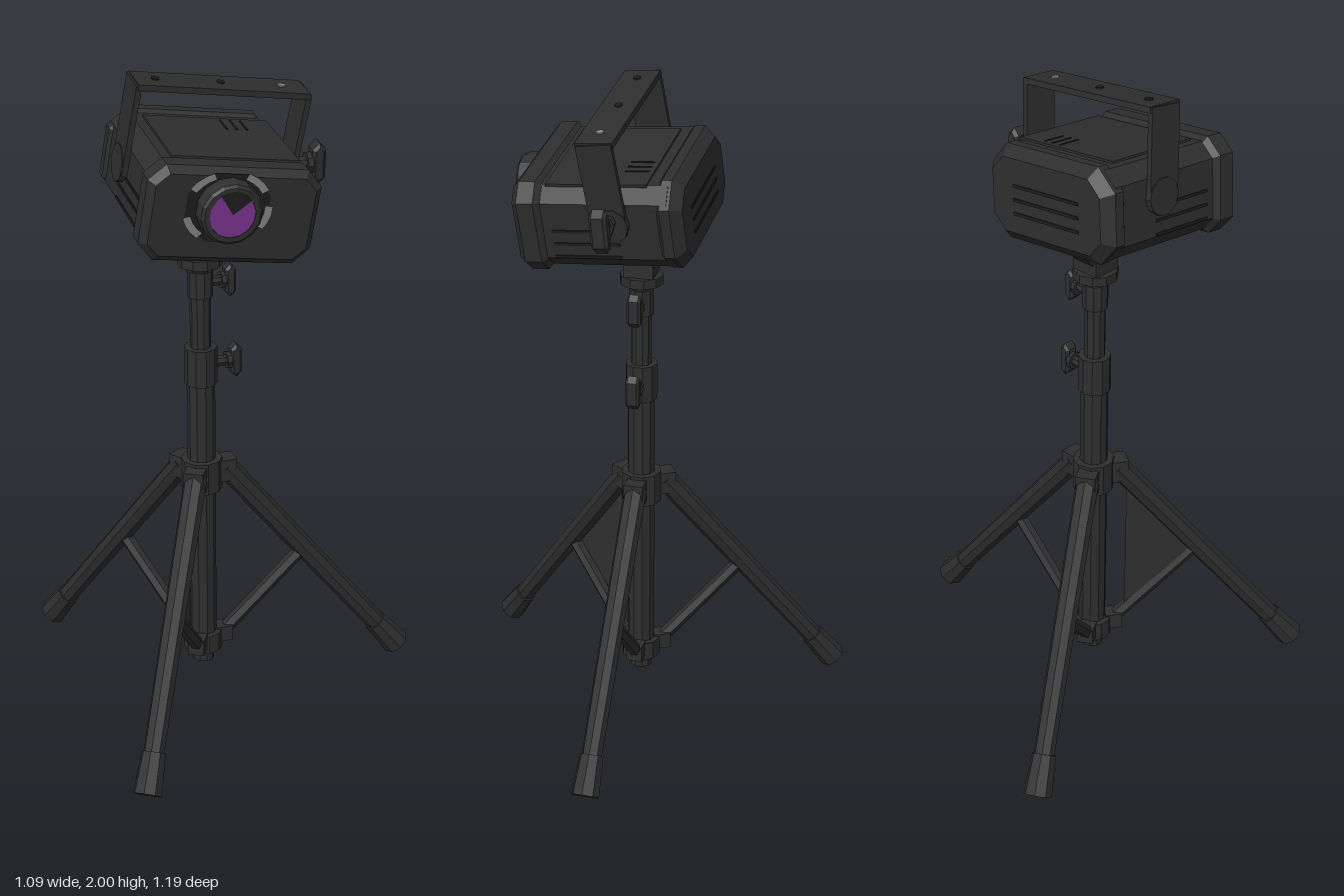
import * as THREE from 'three';

const mat = (name, color, side = THREE.FrontSide) => {
  const m = new THREE.MeshStandardMaterial({ color, flatShading: true, side });
  m.name = name;
  return m;
};

export function createModel() {
  const dark = mat('charcoal plastic', 0x2e2e2e);
  const black = mat('black recess', 0x1d1d1d);
  const grey = mat('light grey trim', 0x858585);
  const purple = mat('purple glass', 0x7d3590);
  const sheet = mat('charcoal sheet', 0x303030, THREE.DoubleSide);

  const add = (parent, name, geo, material, x = 0, y = 0, z = 0) => {
    const m = new THREE.Mesh(geo, material);
    m.name = name;
    m.position.set(x, y, z);
    parent.add(m);
    return m;
  };
  const group = (parent, name, x = 0, y = 0, z = 0) => {
    const g = new THREE.Group();
    g.name = name;
    g.position.set(x, y, z);
    parent.add(g);
    return g;
  };
  // Cylinder between two points
  const rod = (parent, name, a, b, ra, rb = ra, sides = 8, material = dark) => {
    const d = b.clone().sub(a);
    const m = add(parent, name, new THREE.CylinderGeometry(rb, ra, d.length(), sides), material);
    m.position.copy(a).add(b).multiplyScalar(0.5);
    m.quaternion.setFromUnitVectors(new THREE.Vector3(0, 1, 0), d.normalize());
    return m;
  };
  const V = (x, y, z = 0) => new THREE.Vector3(x, y, z);
  // Box with cut corners on every edge
  const chamferBox = (w, h, d, c, e) => {
    const x = w / 2 - e, y = h / 2 - e;
    const s = new THREE.Shape([[-x + c, -y], [x - c, -y], [x, -y + c], [x, y - c], [x - c, y],
      [-x + c, y], [-x, y - c], [-x, -y + c]].map(p => new THREE.Vector2(...p)));
    const g = new THREE.ExtrudeGeometry(s, { depth: d - 2 * e, bevelEnabled: true, bevelSize: e, bevelThickness: e, bevelSegments: 1 });
    return g.translate(0, 0, -d / 2 + e);
  };
  // Clamp knob pointing along +x: stem, flange and a two-winged grip
  const knob = (parent, name, x, y, z, s = 1) => {
    const g = group(parent, name, x, y, z);
    g.scale.setScalar(s);
    rod(g, 'knobStem', V(0, 0), V(0.06, 0), 0.02, 0.016);
    rod(g, 'knobFlange', V(0.045, 0), V(0.06, 0), 0.028);
    add(g, 'knobGrip', chamferBox(0.036, 0.105, 0.045, 0.01, 0.008), dark, 0.075, 0, 0);
    return g;
  };

  const root = new THREE.Group();
  root.name = 'projectorOnTripod';
  const stand = group(root, 'stand', -0.14, 0, -0.01);

  // Telescoping pole with collars: name, bottom, top, radius
  [['poleTip', 0.11, 0.17, 0.034], ['lowerCollar', 0.15, 0.21, 0.06],
    ['lowerPole', 0.15, 1.08, 0.042], ['legHub', 0.7, 0.8, 0.062],
    ['middleCollar', 1.045, 1.16, 0.049], ['upperPole', 1.1, 1.45, 0.031],
    ['upperCollar', 1.32, 1.4, 0.038], ['headDisc', 1.418, 1.446, 0.066]]
    .forEach(([n, a, b, r]) => rod(stand, n, V(0, a), V(0, b), r, r, 10));
  knob(stand, 'middleKnob', 0.035, 1.105, 0, 0.95);
  knob(stand, 'upperKnob', 0.02, 1.36, 0, 0.92);

  // Three legs, each turned about the pole
  [-0.01, 2.09, -2.16].forEach((angle, i) => {
    const leg = group(stand, 'leg' + (i + 1));
    leg.rotation.y = angle;
    const top = V(0.07, 0.765), foot = V(0.655, 0.03);
    const sleeve = top.clone().lerp(foot, 0.9);
    rod(leg, 'legTube', top, sleeve, 0.035, 0.031);
    rod(leg, 'rubberFoot', top.clone().lerp(foot, 0.87), foot, 0.036, 0.043);
    add(leg, 'legHinge', new THREE.BoxGeometry(0.075, 0.07, 0.06), dark, 0.065, 0.755, 0);
    rod(leg, 'strut', V(0.06, 0.185), V(0.325, 0.43), 0.021, 0.021, 6);
    add(leg, 'strutHinge', new THREE.BoxGeometry(0.05, 0.05, 0.05), dark, 0.065, 0.19, 0);
    // Web filling the front leg
    if (i === 2) {
      const web = new THREE.Shape([[0.32, 0.44], [0.1, 0.72], [0.1, 0.25]].map(p => new THREE.Vector2(...p)));
      add(leg, 'legWeb', new THREE.ShapeGeometry(web), sheet, 0, 0, 0.012);
    }
  });

  // Tilting mount between pole and housing
  add(stand, 'mountBase', new THREE.BoxGeometry(0.09, 0.05, 0.09), dark, 0, 1.465, 0);
  const tilt = add(stand, 'tiltPlate', new THREE.CylinderGeometry(0.085, 0.085, 0.07, 14, 1, false, Math.PI / 2, Math.PI), dark, 0, 1.545, 0);
  tilt.rotation.z = Math.PI / 2;
  tilt.rotation.order = 'XYZ';
  tilt.geometry = new THREE.CylinderGeometry(0.08, 0.08, 0.07, 14);
  rod(stand, 'tiltBolt', V(-0.05, 1.505), V(0.05, 1.505), 0.015, 0.015, 6, grey);

  // Tilted housing
  const head = group(root, 'projector', -0.14, 1.685, 0.05);
  head.rotation.set(0.09, -0.05, -0.14);
  add(head, 'housing', chamferBox(0.47, 0.255, 0.46, 0.03, 0.02), dark);
  add(head, 'frontBezel', chamferBox(0.5, 0.28, 0.09, 0.035, 0.02), dark, 0, 0, 0.205);
  add(head, 'backBezel', chamferBox(0.49, 0.275, 0.09, 0.045, 0.03), dark, 0, 0, -0.205);
  add(head, 'topPanel', new THREE.BoxGeometry(0.37, 0.008, 0.3), dark, 0.02, 0.13, 0);

  // Vent slots on the back, sides and top
  for (let i = 0; i < 3; i++) {
    const y = -0.05 + i * 0.04;
    add(head, 'backVent', new THREE.BoxGeometry(0.26, 0.009, 0.006), black, 0, y, -0.25);
    for (const s of [-1, 1]) {
      add(head, 'sideVent', new THREE.BoxGeometry(0.006, 0.008, 0.2), black, s * 0.235, y - 0.03, 0.04);
    }
    add(head, 'topVent', new THREE.BoxGeometry(0.006, 0.006, 0.07), black, 0.06 + i * 0.03, 0.133, -0.1);
  }

  // Lens with its octagonal surround
  const lens = group(head, 'lens', -0.02, 0.028, 0.25);
  const disc = (name, r0, r1, z, m, start = 0, len = Math.PI * 2, seg = 8) =>
    add(lens, name, new THREE.RingGeometry(r0, r1, seg, 1, start, len), m, 0, 0, z);
  disc('surround', 0.085, 0.128, 0.002, black, Math.PI / 8).scale.y = 0.85;
  for (const start of [-0.55, 0.55, 2.0, 3.45]) {
    disc('surroundTrim', 0.108, 0.13, 0.004, grey, start, 0.65, 2).scale.y = 0.85;
  }
  const profile = [[0.09, 0], [0.088, 0.045], [0.08, 0.052], [0.066, 0.052], [0.06, 0.03]]
    .map(p => new THREE.Vector2(...p));
  const barrel = add(lens, 'lensBarrel', new THREE.LatheGeometry(profile, 14), dark);
  barrel.rotation.x = Math.PI / 2;
  barrel.material = sheet;
  add(lens, 'lensGlass', new THREE.CircleGeometry(0.068, 14), purple, 0, 0, 0.05);
  add(lens, 'lensShade', new THREE.CircleGeometry(0.068, 5, 0.75, 1.5), black, 0, 0.002, 0.053);

  // Strap handle over the housing
  const handle = group(head, 'handle', 0.004, 0, -0.045);
  add(handle, 'handleTop', new THREE.BoxGeometry(0.5, 0.018, 0.11), dark, 0, 0.275, 0.015);
  for (const s of [-1, 1]) {
    const side = add(handle, 'handleArm', new THREE.BoxGeometry(0.016, 0.27, 0.105), dark, s * 0.248, 0.145, 0.008);
    side.rotation.x = 0.05;
    const pivot = add(handle, 'handlePivot', new THREE.CylinderGeometry(0.055, 0.055, 0.018, 10), dark, s * 0.25, 0.03, 0);
    pivot.rotation.z = Math.PI / 2;
  }
  for (const x of [-0.19, 0, 0.18]) {
    add(handle, 'handleScrew', new THREE.CylinderGeometry(0.012, 0.012, 0.006, 8), x > 0.1 ? grey : black, x, 0.285, 0.015);
  }
  knob(handle, 'handleKnob', 0.25, 0.045, 0, 1.15).rotation.z = 0.14;

  return root;
}
